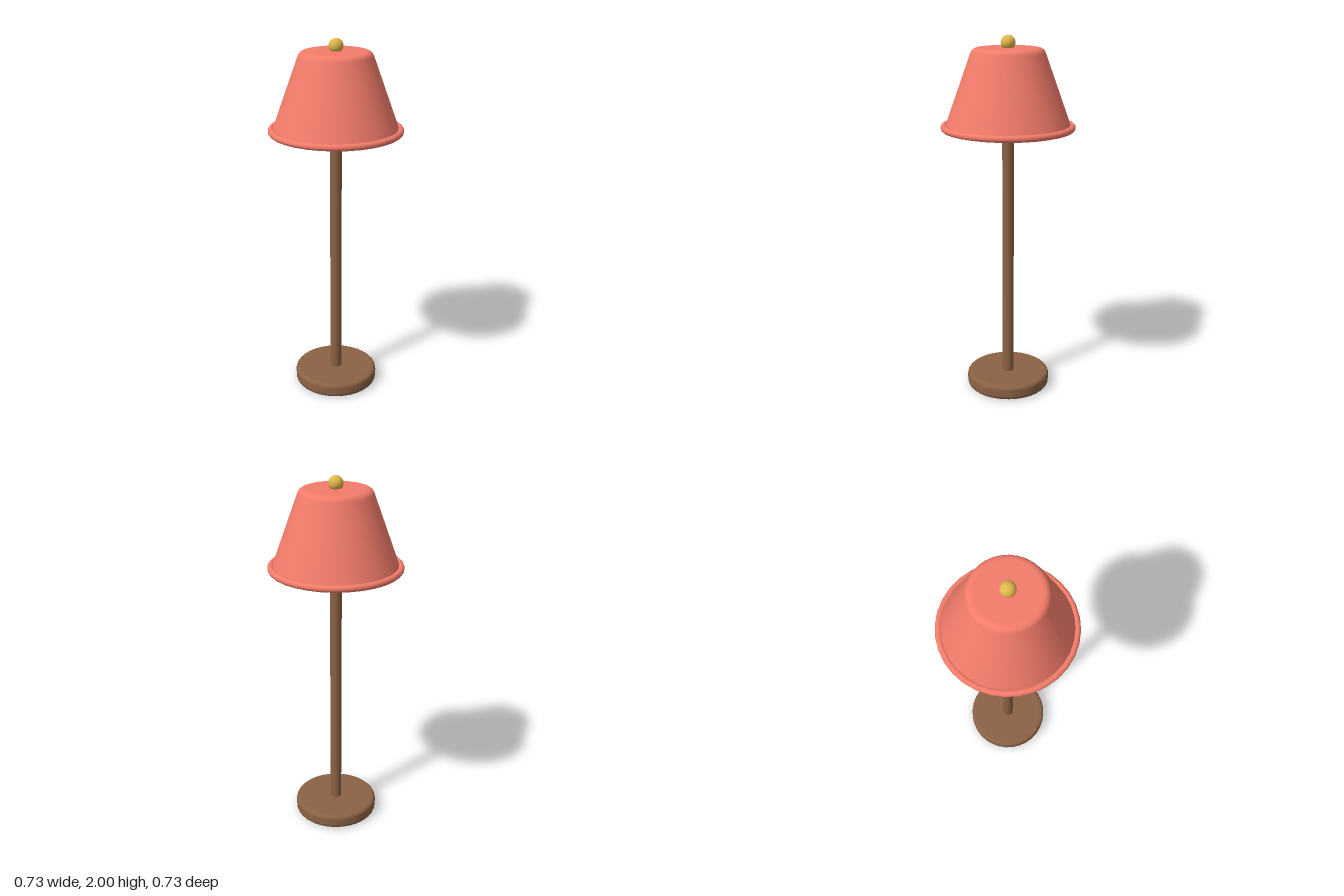
import * as THREE from 'three';

const wood = new THREE.MeshStandardMaterial({ color: 0x8b6244 });
const fabric = new THREE.MeshStandardMaterial({ color: 0xf47c6a });
const brass = new THREE.MeshStandardMaterial({ color: 0xe0b84c });

// Closed solid of revolution: flat bottom, side with rounded corners, flat top.
// Corner points are doubled with a tiny gap so the flat caps stay flat.
function turned(rBottom, y0, rTop, y1, bevelBottom, bevelTop) {
  const p = [new THREE.Vector2(0, y0)];
  const add = (x, y) => p.push(new THREE.Vector2(x, y));
  const side = new THREE.Vector2(rTop - rBottom, y1 - y0).normalize();
  const corner = (from, mid, to, n = 5) => {
    const c = new THREE.QuadraticBezierCurve(from, mid, to);
    c.getPoints(n).forEach((q) => add(q.x, q.y));
  };
  const b = new THREE.Vector2(rBottom, y0), t = new THREE.Vector2(rTop, y1);
  const e = 0.0008;
  add(rBottom - bevelBottom - e, y0);
  corner(new THREE.Vector2(rBottom - bevelBottom, y0), b, b.clone().addScaledVector(side, bevelBottom + e));
  add(b.x + side.x * (bevelBottom + 2 * e), b.y + side.y * (bevelBottom + 2 * e));
  corner(t.clone().addScaledVector(side, -bevelTop), t, new THREE.Vector2(rTop - bevelTop, y1));
  add(rTop - bevelTop - e, y1);
  add(0, y1);
  return new THREE.LatheGeometry(p, 32);
}

export function createModel() {
  const lamp = new THREE.Group();
  lamp.name = 'floorLamp';

  const part = (name, geometry, material, y = 0) => {
    const mesh = new THREE.Mesh(geometry, material);
    mesh.name = name;
    mesh.position.y = y;
    lamp.add(mesh);
    return mesh;
  };

  // Round foot and pole
  part('base', turned(0.235, 0, 0.235, 0.08, 0.024, 0.024), wood);
  part('pole', new THREE.CylinderGeometry(0.032, 0.032, 1.47, 24), wood, 0.785);

  // Tapered shade with a rolled lower rim
  part('shade', turned(0.34, 1.515, 0.188, 1.935, 0.001, 0.028), fabric);
  const rim = part('shadeRim', new THREE.TorusGeometry(0.345, 0.018, 12, 32), fabric, 1.517);
  rim.rotation.x = Math.PI / 2;

  // Brass collar under the shade and finial on top
  part('collar', new THREE.CylinderGeometry(0.045, 0.045, 0.02, 24), brass, 1.515);
  part('finial', new THREE.SphereGeometry(0.039, 24, 16), brass, 1.961);

  return lamp;
}
